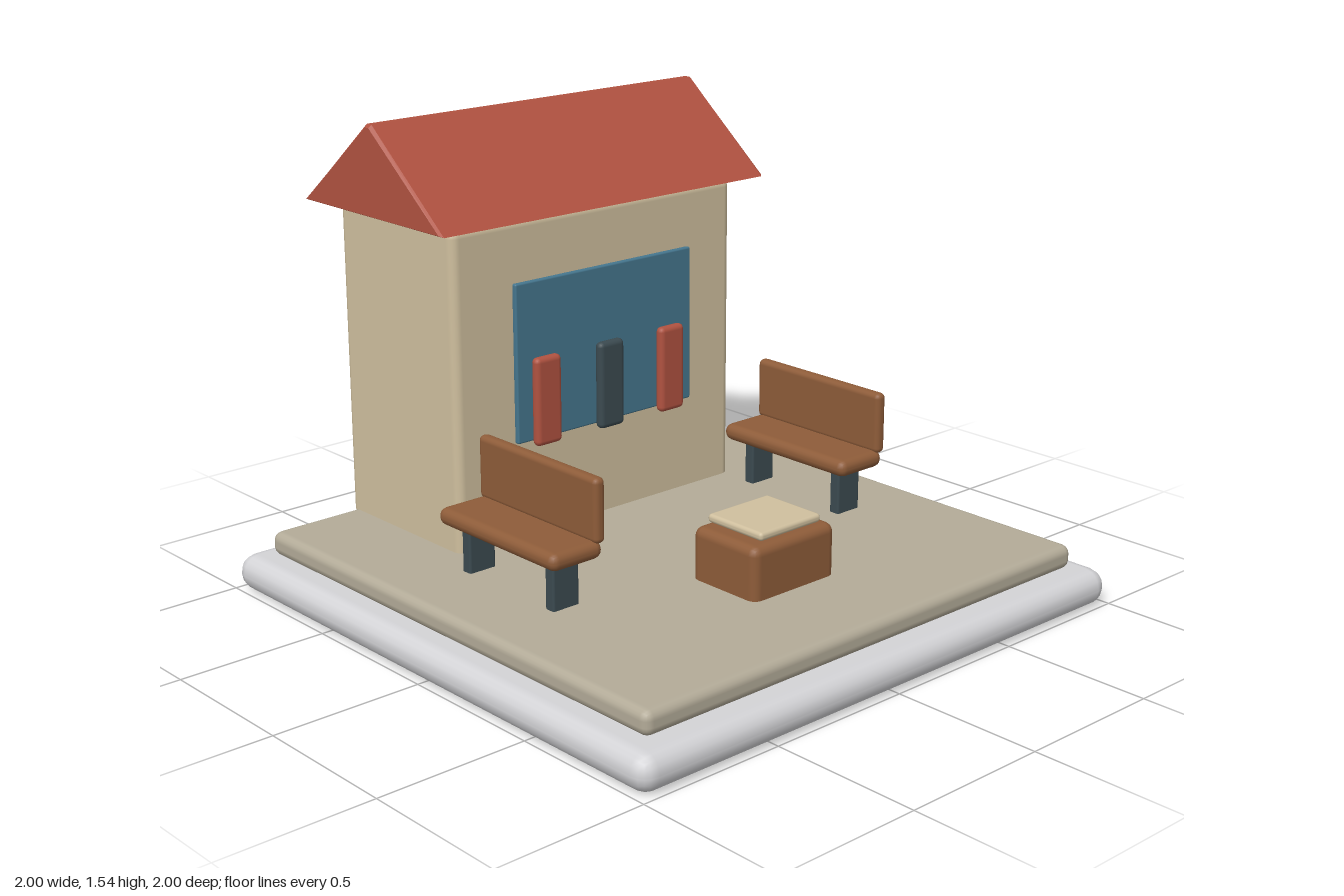
import * as THREE from 'three';
import { RoundedBoxGeometry } from 'three/addons/geometries/RoundedBoxGeometry.js';

const mat = (name, color) => {
  const m = new THREE.MeshStandardMaterial({ color });
  m.name = name;
  return m;
};

export function createModel() {
  const root = new THREE.Group();
  root.name = 'kioskPlaza';

  const stone = mat('pale grey stone', 0xd3d3d6);
  const paving = mat('warm grey paving', 0xb3ab98);
  const cream = mat('cream plaster', 0xcfbf9e);
  const red = mat('brick red', 0xb05240);
  const blue = mat('window blue', 0x45768e);
  const dark = mat('dark slate', 0x3b4a50);
  const wood = mat('brown wood', 0x8e5c39);

  // Rounded box given by its extents on each axis
  function box(parent, name, material, [x0, x1], [y0, y1], [z0, z1], radius, segments = 2) {
    const geo = new RoundedBoxGeometry(x1 - x0, y1 - y0, z1 - z0, segments, radius);
    const mesh = new THREE.Mesh(geo, material);
    mesh.position.set((x0 + x1) / 2, (y0 + y1) / 2, (z0 + z1) / 2);
    mesh.name = name;
    parent.add(mesh);
    return mesh;
  }

  // Stepped ground slabs
  box(root, 'baseSlab', stone, [-1, 1], [0, 0.12], [-1, 1], 0.058);
  box(root, 'pavedFloor', paving, [-0.912, 0.912], [0.12, 0.2], [-0.912, 0.912], 0.03);

  // Kiosk body, shop window and hanging panels
  const kiosk = new THREE.Group();
  kiosk.name = 'kiosk';
  root.add(kiosk);
  box(kiosk, 'kioskWalls', cream, [-0.925, -0.331], [0.17, 1.245], [-0.585, 0.585], 0.03);
  box(kiosk, 'shopWindow', blue, [-0.317, -0.297], [0.525, 1.047], [-0.369, 0.369], 0.006);
  [-0.263, 0, 0.263].forEach((z, i) => {
    box(kiosk, 'hangingPanel' + (i + 1), i === 1 ? dark : red,
      [-0.3, -0.264], [0.51, 0.802], [z - 0.052, z + 0.052], 0.017);
  });

  // Gabled roof with slightly softened edges
  const gable = new THREE.Shape([
    new THREE.Vector2(-0.365, 0),
    new THREE.Vector2(0.365, 0),
    new THREE.Vector2(0.012, 0.292),
    new THREE.Vector2(-0.012, 0.292),
  ]);
  const bevel = 0.01;
  const roofGeo = new THREE.ExtrudeGeometry(gable, {
    depth: 1.342 - 2 * bevel, bevelEnabled: true, bevelSegments: 1,
    bevelSize: bevel, bevelThickness: bevel, bevelOffset: -bevel,
  });
  const roof = new THREE.Mesh(roofGeo, red);
  roof.name = 'gabledRoof';
  roof.position.set(-0.628, 1.248, -0.671 + bevel);
  kiosk.add(roof);

  // Two matching benches, both facing +z
  for (const [name, z] of [['frontBench', 0.608], ['rearBench', -0.608]]) {
    const bench = new THREE.Group();
    bench.name = name;
    bench.position.z = z;
    box(bench, 'seat', wood, [-0.283, 0.279], [0.348, 0.405], [-0.098, 0.098], 0.027);
    box(bench, 'backrest', wood, [-0.283, 0.279], [0.395, 0.602], [-0.107, -0.066], 0.018);
    for (const x of [-0.203, 0.199]) {
      box(bench, 'leg', dark, [x - 0.02, x + 0.02], [0.19, 0.36], [-0.05, 0.05], 0.008);
    }
    root.add(bench);
  }

  // Low table with a cream top
  const table = new THREE.Group();
  table.name = 'lowTable';
  root.add(table);
  box(table, 'tableBlock', wood, [0.295, 0.571], [0.17, 0.37], [-0.174, 0.174], 0.03);
  box(table, 'tableTop', cream, [0.316, 0.55], [0.376, 0.404], [-0.129, 0.129], 0.012);

  return root;
}
